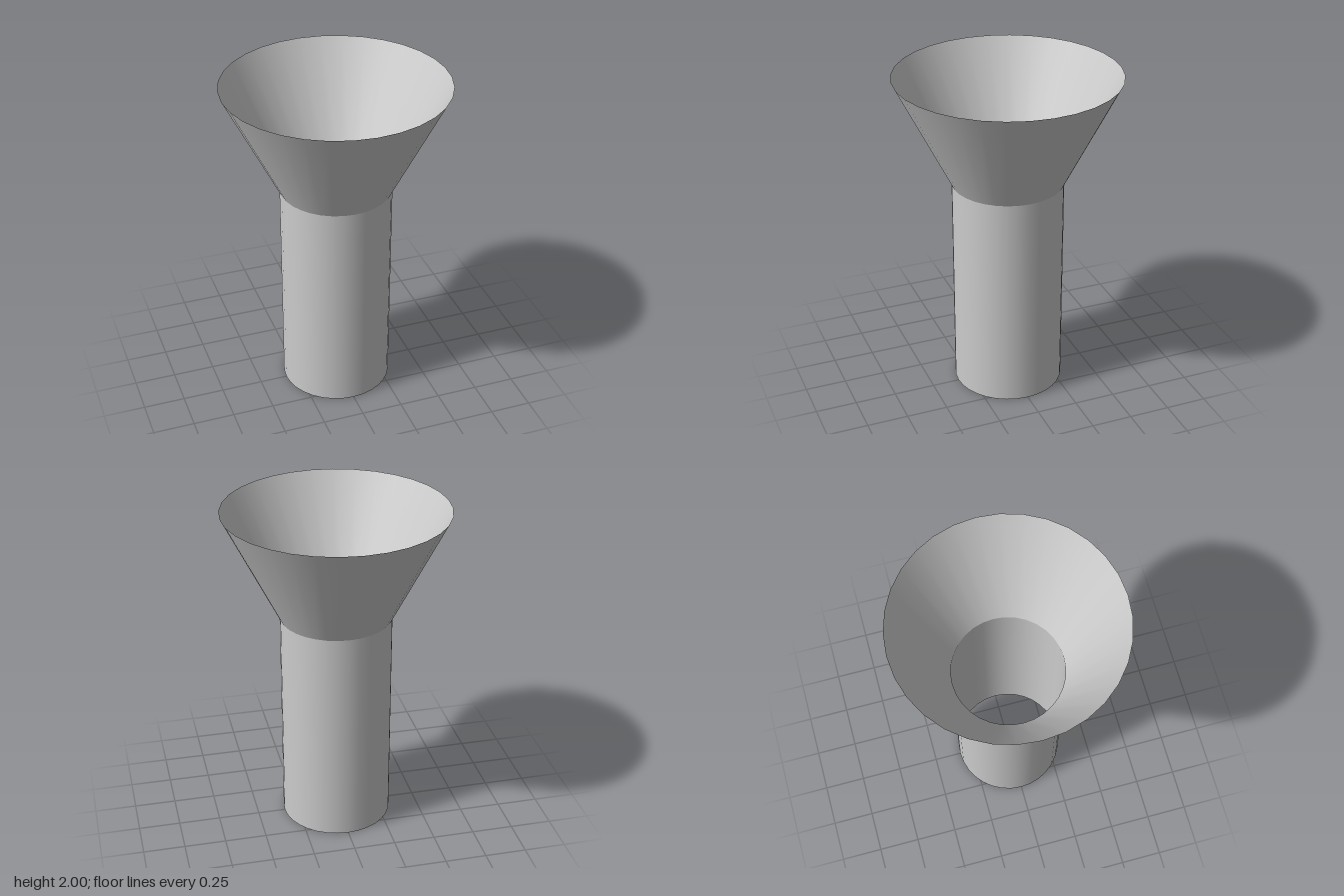
import * as THREE from 'three';

const SIDES = 32;
const PIPE_RADIUS = 1 / 3;
const RIM_RADIUS = 2 / 3;
const PIPE_HEIGHT = 4 / 3;
const FUNNEL_HEIGHT = 2 / 3;

export function createModel() {
  const group = new THREE.Group();
  group.name = 'funnel';
  const material = new THREE.MeshStandardMaterial({ color: 0xcccccc, side: THREE.DoubleSide });

  // Thin open-ended tube section standing on height y
  const addSection = (name, topRadius, bottomRadius, height, y) => {
    const geometry = new THREE.CylinderGeometry(topRadius, bottomRadius, height, SIDES, 1, true);
    const mesh = new THREE.Mesh(geometry, material);
    mesh.name = name;
    mesh.position.y = y + height / 2;
    group.add(mesh);
  };

  // Straight pipe, then the flared mouth on top of it
  addSection('pipe', PIPE_RADIUS, PIPE_RADIUS, PIPE_HEIGHT, 0);
  addSection('flaredMouth', RIM_RADIUS, PIPE_RADIUS, FUNNEL_HEIGHT, PIPE_HEIGHT);

  return group;
}
